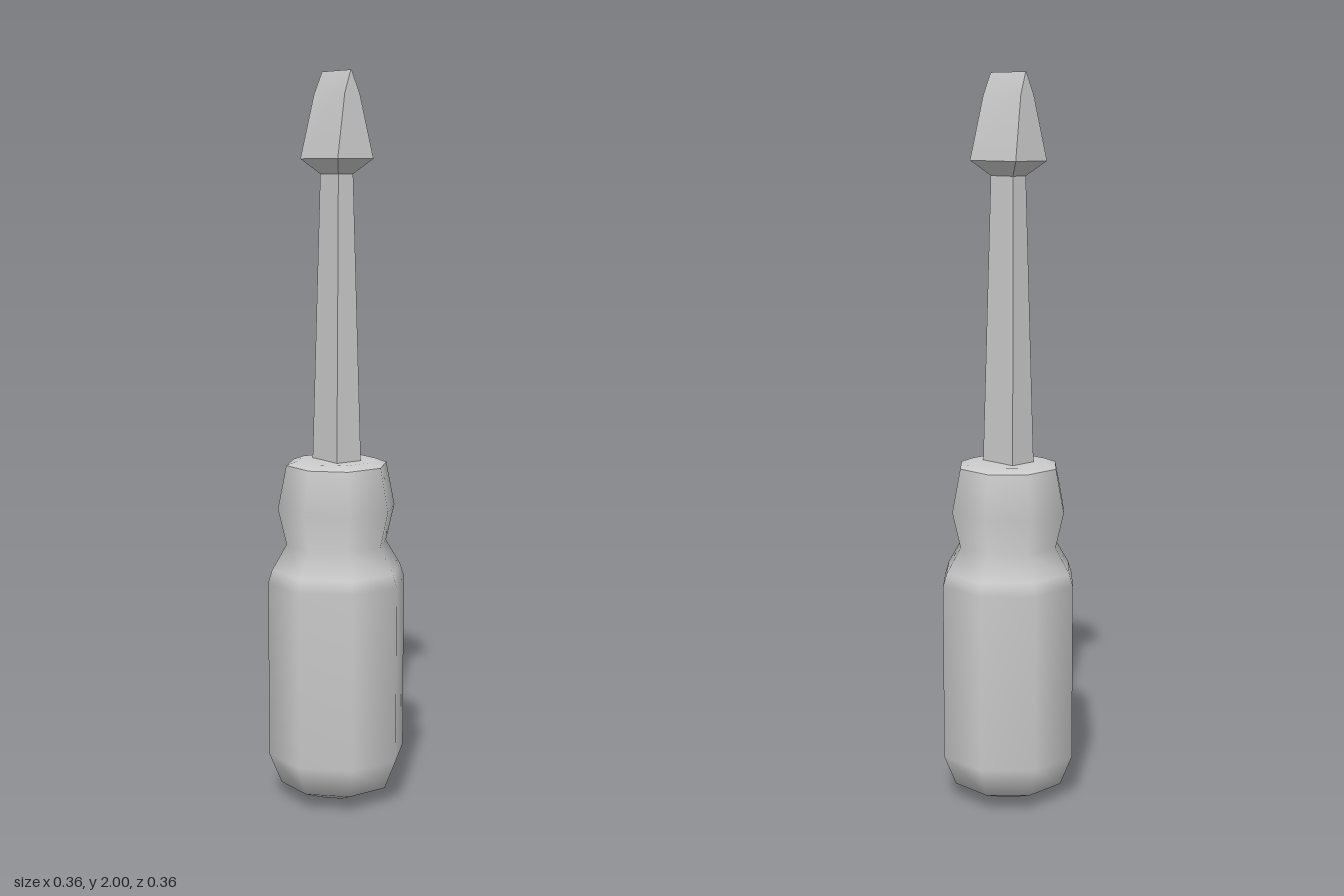
import * as THREE from 'three';
import { toCreasedNormals } from 'three/addons/utils/BufferGeometryUtils.js';

const material = new THREE.MeshStandardMaterial({ color: 0xcccccc });

// Eight-sided turned part; profile holds [flat-to-centre distance, y] from bottom to top
function octagonLathe(profile) {
  const points = profile.map(([r, y]) => new THREE.Vector2(r / Math.cos(Math.PI / 8), y));
  return new THREE.LatheGeometry(points, 8, Math.PI / 8);
}

// Rectangular loft; sections hold [y, half width, half depth] from bottom to top
function rectLoft(sections) {
  const position = [], index = [];
  for (const [y, w, d] of sections) position.push(w, y, d, w, y, -d, -w, y, -d, -w, y, d);
  for (let s = 0; s < sections.length - 1; s++) {
    for (let i = 0; i < 4; i++) {
      const a = s * 4 + i, b = s * 4 + (i + 1) % 4;
      index.push(a, b, b + 4, a, b + 4, a + 4);
    }
  }
  const t = (sections.length - 1) * 4;
  index.push(0, 2, 1, 0, 3, 2, t, t + 1, t + 2, t, t + 2, t + 3);
  const geometry = new THREE.BufferGeometry();
  geometry.setAttribute('position', new THREE.Float32BufferAttribute(position, 3));
  geometry.setIndex(index);
  return toCreasedNormals(geometry, 0.6);
}

export function createModel() {
  const group = new THREE.Group();
  const add = (name, geometry) => {
    const mesh = new THREE.Mesh(geometry, material);
    mesh.name = name;
    group.add(mesh);
  };

  // Grip with rounded butt, waist and collar
  add('handle', octagonLathe([
    [0, 0], [0.06, 0.006], [0.146, 0.045], [0.178, 0.13], [0.178, 0.62],
    [0.168, 0.655], [0.13, 0.725], [0.152, 0.825], [0.13, 0.945],
  ]));
  // Nearly flat top of the grip, kept apart for a sharp rim
  add('handleCap', octagonLathe([[0.13, 0.945], [0.1, 0.957], [0, 0.958]]));
  // Tapered rectangular shaft
  add('shaft', rectLoft([[0.95, 0.058, 0.04], [1.735, 0.042, 0.024]]));
  // Flared blade narrowing to a straight edge
  add('blade', rectLoft([
    [1.73, 0.042, 0.024], [1.77, 0.087, 0.058], [1.94, 0.071, 0.024], [2, 0.066, 0.001],
  ]));
  return group;
}
